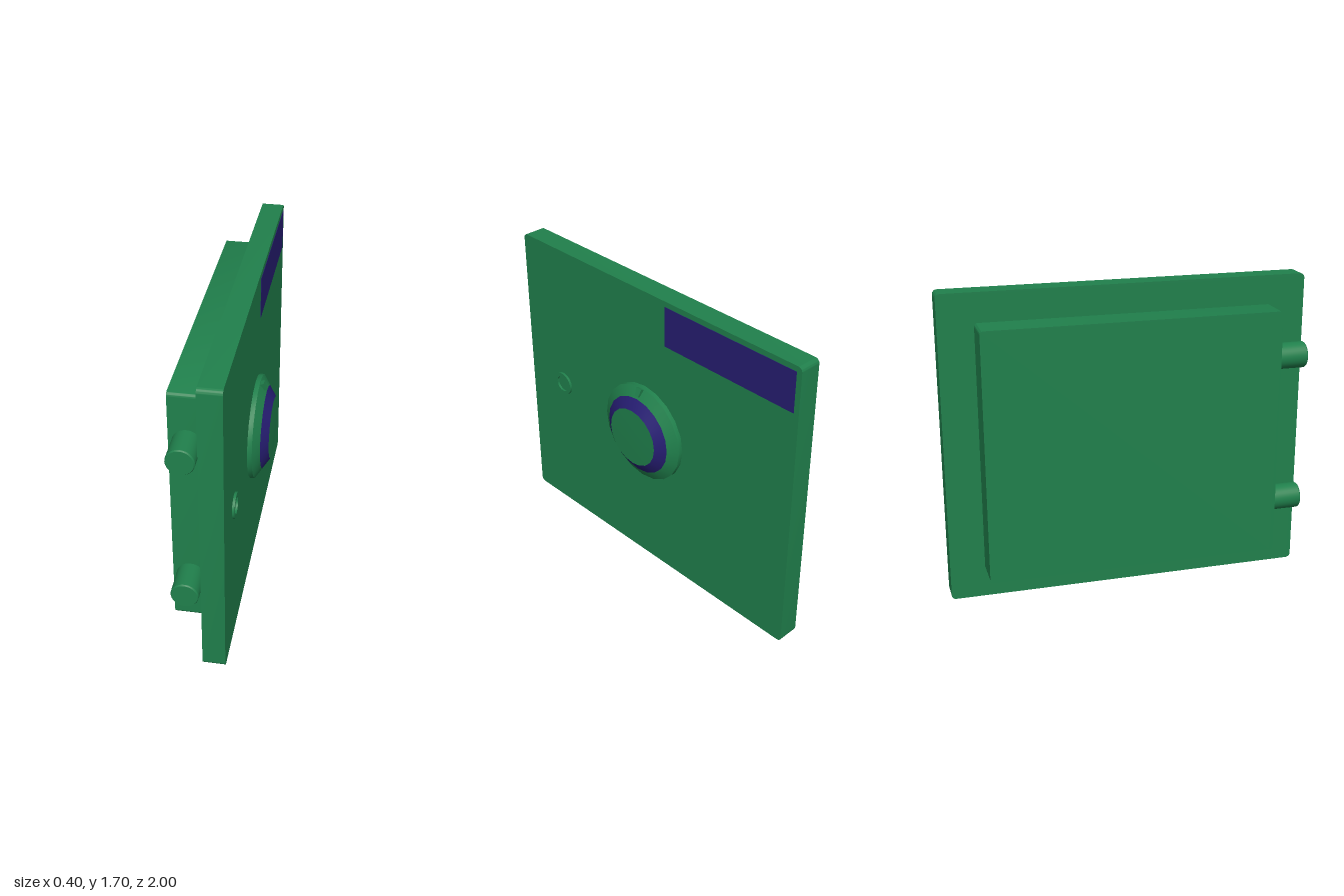
import * as THREE from 'three';
import { toCreasedNormals } from 'three/addons/utils/BufferGeometryUtils.js';

const green = new THREE.MeshStandardMaterial({ color: 0x20804c });
const purple = new THREE.MeshStandardMaterial({ color: 0x261d72 });

export function createModel() {
  const model = new THREE.Group();

  const add = (name, geometry, material, x, y, z, parent = model) => {
    const mesh = new THREE.Mesh(geometry, material);
    mesh.name = name;
    mesh.position.set(x, y, z);
    parent.add(mesh);
    return mesh;
  };

  // Slab with rounded corners, starting at x = 0 and growing towards +x
  const slab = (depth, height, thick, r) => {
    const w = depth / 2, h = height / 2;
    const s = new THREE.Shape();
    s.absarc(w - r, h - r, r, 0, Math.PI / 2);
    s.absarc(-w + r, h - r, r, Math.PI / 2, Math.PI);
    s.absarc(-w + r, -h + r, r, Math.PI, Math.PI * 1.5);
    s.absarc(w - r, -h + r, r, Math.PI * 1.5, Math.PI * 2);
    const g = new THREE.ExtrudeGeometry(s, { depth: thick, bevelEnabled: false, curveSegments: 6 });
    return toCreasedNormals(g.rotateY(Math.PI / 2), 0.6);
  };

  // Turned part from [radius, height] points, axis along +x
  const turned = (points, sides, crease = 0.4) => {
    const g = new THREE.LatheGeometry(points.map(([r, h]) => new THREE.Vector2(r, h)), sides);
    return toCreasedNormals(g.rotateZ(-Math.PI / 2), crease);
  };

  // Face plate and the housing behind it
  add('facePlate', slab(2, 1.7, 0.12, 0.025), green, -0.02, 0.85, 0);
  add('backHousing', slab(1.62, 1.38, 0.18, 0.02), green, -0.2, 0.85, 0);

  // Label panel in the upper corner
  add('labelPanel', new THREE.BoxGeometry(0.004, 0.225, 0.855), purple, 0.1, 1.557, -0.542);

  // Two pegs on the housing edge
  for (const y of [0.44, 1.27]) {
    const peg = turned([[0.072, 0], [0.072, 0.168], [0.067, 0.175], [0, 0.175]], 32);
    add('peg', peg.rotateY(-Math.PI / 2), green, -0.11, y, 0.8);
  }

  // Round dial: base, coloured ring, cap and pointer
  const dial = new THREE.Group();
  dial.name = 'dial';
  dial.position.set(0.1, 0.855, 0.035);
  model.add(dial);
  add('dialBase', turned([[0.285, 0], [0.285, 0.025], [0.228, 0.06]], 20), green, 0, 0, 0, dial);
  add('dialRing', turned([[0.228, 0.06], [0.17, 0.098]], 20), purple, 0, 0, 0, dial);
  add('dialCap', turned([[0.17, 0.098], [0.12, 0.099], [0.06, 0.1], [0, 0.1]], 20), green, 0, 0, 0, dial);

  const mark = new THREE.Shape([[-0.012, -0.024], [0.012, -0.024], [0.02, 0.022], [-0.02, 0.022]]
    .map(([x, y]) => new THREE.Vector2(x, y)));
  const markGeometry = new THREE.ExtrudeGeometry(mark, { depth: 0.024, bevelEnabled: false });
  const pointer = add('dialPointer', markGeometry.rotateY(Math.PI / 2), green, 0.032, 0.258, 0, dial);
  pointer.rotation.z = 0.4;

  // Small indicator with raised rim
  add('indicatorRim', turned([[0.068, 0], [0.068, 0.013], [0.046, 0.013], [0.046, 0.001], [0, 0.001]], 32),
    green, 0.1, 0.85, 0.72);

  return model;
}
